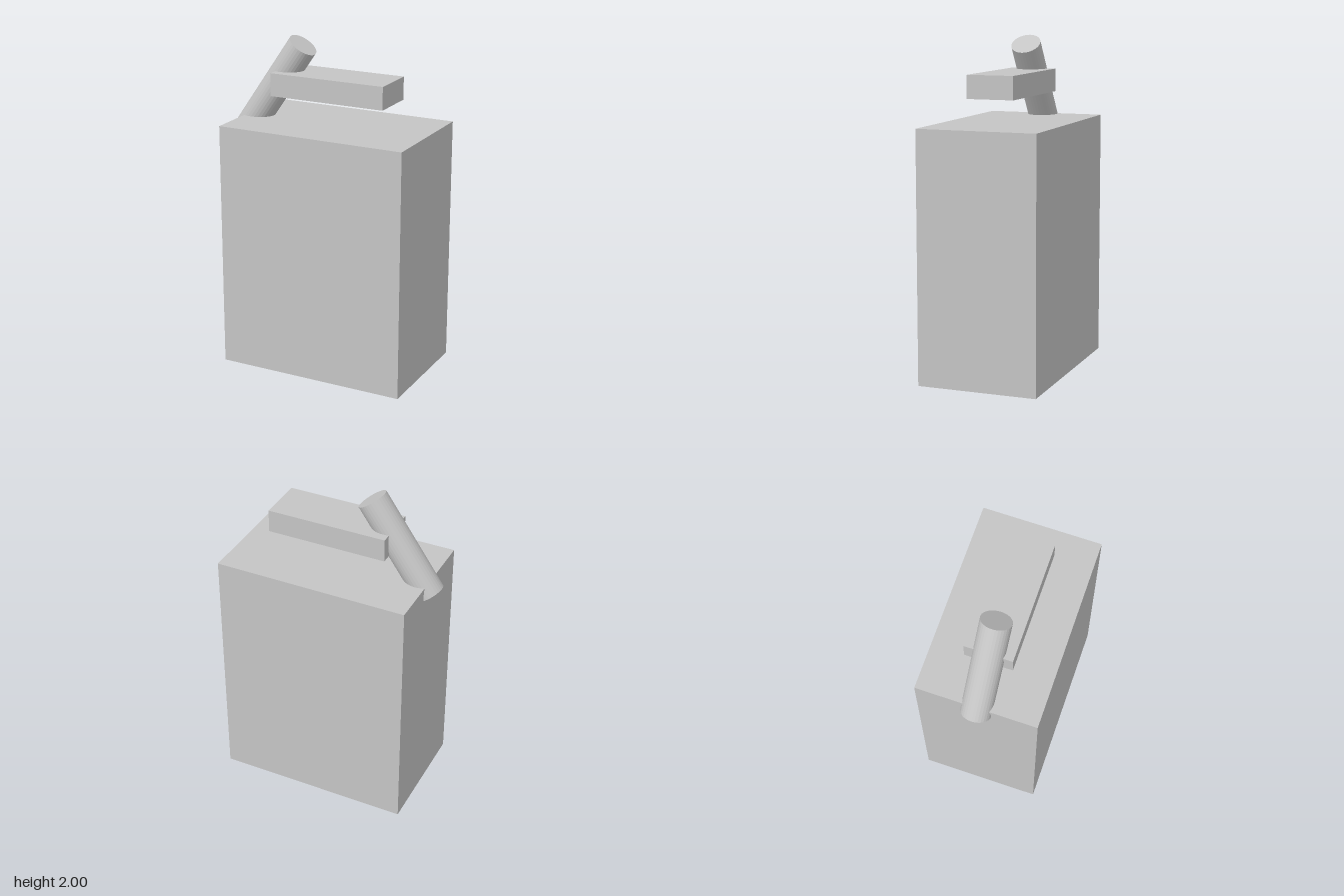
import * as THREE from 'three';

export function createModel() {
  const model = new THREE.Group();
  model.name = 'canister';
  const grey = new THREE.MeshStandardMaterial({ color: 0xc4c4c4, flatShading: true });
  grey.name = 'plain grey';

  const add = (name, geometry, x, y, z = 0) => {
    const mesh = new THREE.Mesh(geometry, grey);
    mesh.name = name;
    mesh.position.set(x, y, z);
    model.add(mesh);
    return mesh;
  };

  // Tall rectangular container
  add('body', new THREE.BoxGeometry(1.174, 1.5, 0.726), 0.038, 0.75);

  // Horizontal grip bar floating above the body, joined to the spout
  add('handle', new THREE.BoxGeometry(0.728, 0.138, 0.284), 0.038, 1.726);

  // Slanted pouring spout, sunk into the top edge of the body
  const spout = add('spout', new THREE.CylinderGeometry(0.09, 0.09, 0.643, 32), -0.367, 1.685);
  spout.rotation.z = -THREE.MathUtils.degToRad(34.7);

  return model;
}
